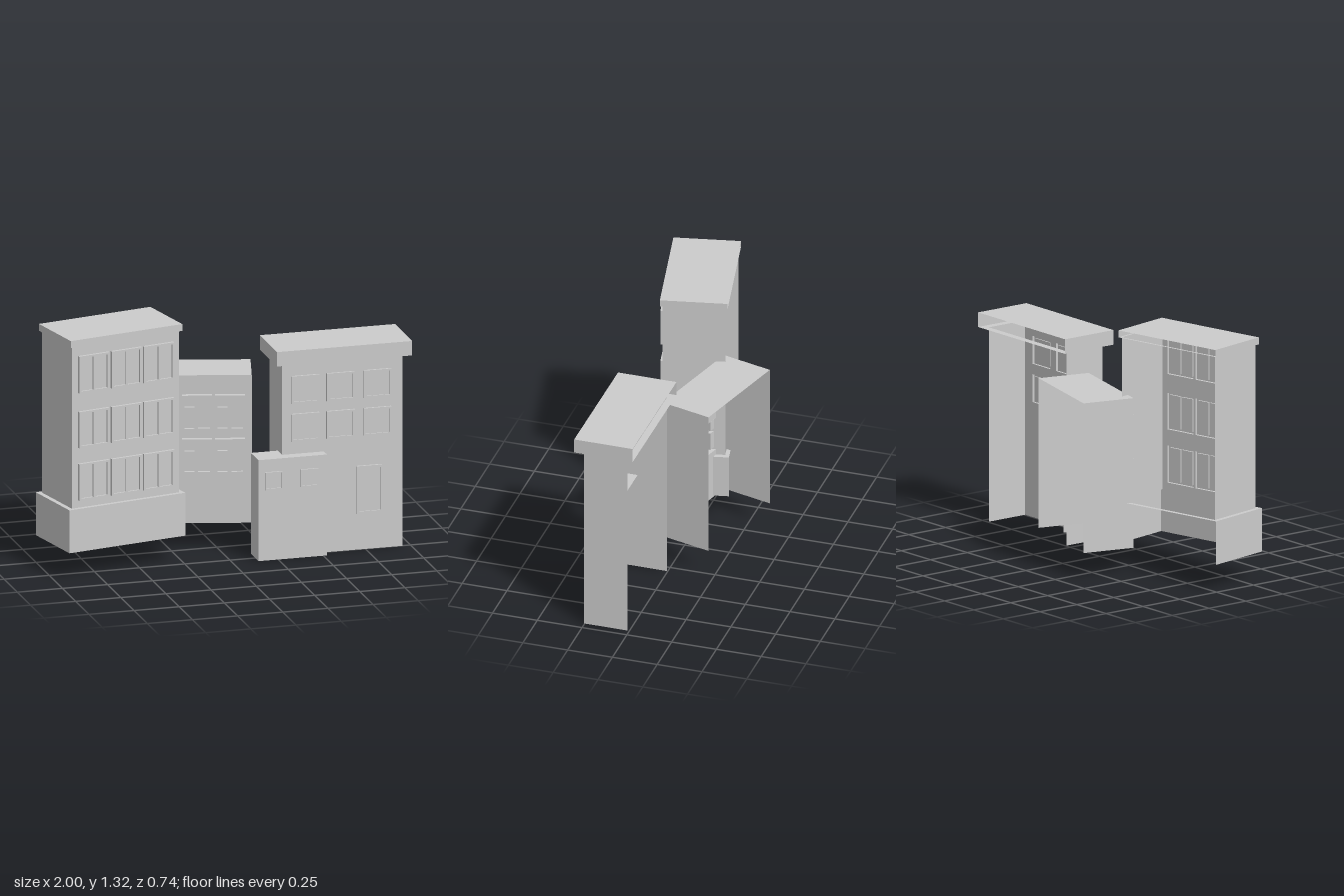
import * as THREE from 'three';

const material = new THREE.MeshStandardMaterial({ color: 0xcccccc, side: THREE.DoubleSide });

function addMesh(parent, name, geometry) {
  const mesh = new THREE.Mesh(geometry, material);
  mesh.name = name;
  parent.add(mesh);
  return mesh;
}

// Rectangles are [x0, y0, x1, y1]
function trace(path, [x0, y0, x1, y1]) {
  path.moveTo(x0, y0);
  path.lineTo(x1, y0);
  path.lineTo(x1, y1);
  path.lineTo(x0, y1);
  path.closePath();
  return path;
}

// Flat panel with rectangular openings
function panel(rect, holes = []) {
  const shape = trace(new THREE.Shape(), rect);
  for (const hole of holes) shape.holes.push(trace(new THREE.Path(), hole));
  return new THREE.ShapeGeometry(shape);
}

// Four thin sides joining a rectangle at z0 to the same one at z1
function rim([x0, y0, x1, y1], z0, z1) {
  const corners = [[x0, y0], [x1, y0], [x1, y1], [x0, y1]];
  const positions = [];
  corners.forEach(([ax, ay], i) => {
    const [bx, by] = corners[(i + 1) % 4];
    positions.push(ax, ay, z0, bx, by, z0, bx, by, z1, ax, ay, z0, bx, by, z1, ax, ay, z1);
  });
  const geometry = new THREE.BufferGeometry();
  geometry.setAttribute('position', new THREE.Float32BufferAttribute(positions, 3));
  geometry.computeVertexNormals();
  return geometry;
}

// Horizontal slab face, optionally with an inner opening [w, d]
function level(parent, name, w, d, y, inner) {
  const holes = inner ? [[-inner[0] / 2, -inner[1] / 2, inner[0] / 2, inner[1] / 2]] : [];
  const geometry = panel([-w / 2, -d / 2, w / 2, d / 2], holes);
  geometry.rotateX(-Math.PI / 2);
  addMesh(parent, name, geometry).position.y = y;
}

// Protruding frame with recessed panes; panes are fractions of the frame
function addWindow(parent, name, rect, panes, z, depth, recess) {
  const group = new THREE.Group();
  group.name = name;
  group.position.z = z;
  const [x0, y0, x1, y1] = rect;
  const w = x1 - x0, h = y1 - y0;
  const openings = panes.map(([a, b, c, d]) => [x0 + a * w, y0 + b * h, x0 + c * w, y0 + d * h]);
  addMesh(group, 'frameSides', rim(rect, 0, depth));
  addMesh(group, 'frameFace', panel(rect, openings)).position.z = depth;
  for (const opening of openings) {
    addMesh(group, 'reveal', rim(opening, depth - recess, depth));
    addMesh(group, 'pane', panel(opening)).position.z = depth - recess;
  }
  parent.add(group);
}

// Front wall and two side walls, open at back and bottom
function walls(parent, name, w, d, y0, y1, windows = [], depth = 0.012, recess = 0.007) {
  addMesh(parent, name + 'Front', panel([-w / 2, y0, w / 2, y1], windows.map(v => v.rect)))
    .position.z = d / 2;
  for (const side of [-1, 1]) {
    const wall = addMesh(parent, name + 'Side', new THREE.PlaneGeometry(d, y1 - y0));
    wall.rotation.y = side * Math.PI / 2;
    wall.position.set(side * w / 2, (y0 + y1) / 2, 0);
  }
  for (const v of windows) addWindow(parent, v.name || 'window', v.rect, v.panes, d / 2, depth, recess);
}

// Grid of equal windows from column centres and row spans
function windowGrid(columns, width, rows, panes) {
  return rows.flatMap(([y0, y1]) =>
    columns.map(x => ({ rect: [x - width / 2, y0, x + width / 2, y1], panes })));
}

function building(root, name, x, z, degrees) {
  const group = new THREE.Group();
  group.name = name;
  group.position.set(x, 0, z);
  group.rotation.y = THREE.MathUtils.degToRad(degrees);
  root.add(group);
  return group;
}

export function createModel() {
  const root = new THREE.Group();
  root.name = 'buildingRow';

  // Tall building with a wide plinth and a thin cornice
  const tall = building(root, 'tallBuilding', -0.62, 0.112, 11.7);
  walls(tall, 'plinth', 0.697, 0.381, 0.15, 0.388);
  level(tall, 'plinthLedge', 0.697, 0.381, 0.388, [0.645, 0.336]);
  const pair = [[0.07, 0.05, 0.47, 0.95], [0.53, 0.05, 0.93, 0.95]];
  walls(tall, 'wall', 0.645, 0.336, 0.388, 1.285,
    windowGrid([-0.195, 0.002, 0.196], 0.182, [[0.43, 0.633], [0.722, 0.922], [1.025, 1.23]], pair), 0.015, 0.01);
  walls(tall, 'cornice', 0.671, 0.361, 1.285, 1.323);
  level(tall, 'corniceUnderside', 0.671, 0.361, 1.285, [0.645, 0.336]);
  level(tall, 'roof', 0.671, 0.361, 1.323);

  // Low middle building with deep three-pane windows
  const middle = building(root, 'middleBuilding', -0.077, -0.152, -15);
  const triple = [[0.08, 0.06, 0.42, 0.58], [0.08, 0.66, 0.42, 0.94], [0.54, 0.06, 0.93, 0.94]];
  walls(middle, 'wall', 0.60, 0.29, 0.14, 0.96,
    windowGrid([-0.168, 0.008, 0.184], 0.16, [[0.42, 0.612], [0.66, 0.855]], triple), 0.028, 0.018);
  level(middle, 'roof', 0.60, 0.29, 0.96);

  // Building with a heavy overhanging cornice and a door
  const corner = building(root, 'corniceBuilding', 0.623, 0.13, -0.3);
  const single = [[0.07, 0.07, 0.93, 0.93]];
  const openings = windowGrid([-0.207, -0.012, 0.192], 0.155, [[0.63, 0.783], [0.84, 0.993]], single);
  openings.push({ name: 'door', rect: [0.077, 0.2, 0.217, 0.465], panes: [[0.07, 0.05, 0.93, 0.95]] });
  walls(corner, 'wall', 0.665, 0.245, 0, 1.065, openings);
  walls(corner, 'cornice', 0.748, 0.327, 1.065, 1.145);
  level(corner, 'corniceUnderside', 0.748, 0.327, 1.065, [0.665, 0.245]);
  level(corner, 'roof', 0.748, 0.327, 1.145);

  // Small annex pushed into the corner of that building
  const annex = building(root, 'annex', 0.33, 0.24, 0);
  walls(annex, 'wall', 0.38, 0.142, 0, 0.56,
    windowGrid([-0.107, 0.092], 0.095, [[0.393, 0.49]], single), 0.01, 0.007);
  level(annex, 'roof', 0.38, 0.142, 0.56);

  return root;
}
